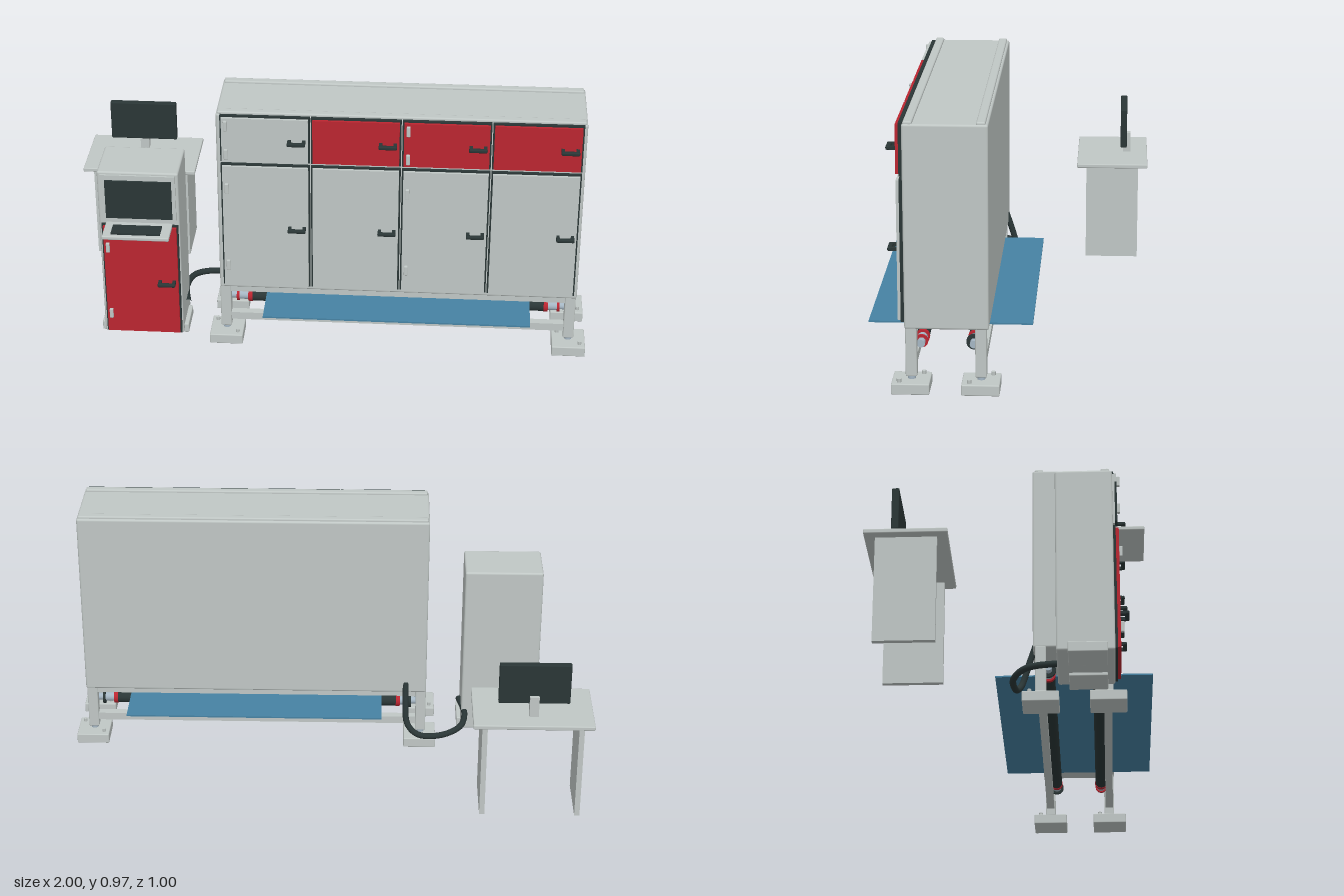
import * as THREE from 'three';
import { RoundedBoxGeometry } from 'three/addons/geometries/RoundedBoxGeometry.js';

const mat = (name, color) => {
  const m = new THREE.MeshStandardMaterial({ color });
  m.name = name;
  return m;
};

export function createModel() {
  const grey = mat('light grey', 0xc0c7c5);
  const red = mat('red', 0xbb2530);
  const dark = mat('dark slate', 0x2a3636);
  const blue = mat('blue sheet', 0x4682a3);
  const silver = mat('blue silver', 0xa5b6c3);
  const root = new THREE.Group();

  const group = (name, parent = root) => {
    const g = new THREE.Group();
    g.name = name;
    parent.add(g);
    return g;
  };
  const add = (name, parent, geo, m, x = 0, y = 0, z = 0) => {
    const mesh = new THREE.Mesh(geo, m);
    mesh.name = name;
    mesh.position.set(x, y, z);
    parent.add(mesh);
    return mesh;
  };
  // box given by its limits, optionally with rounded edges
  const box = (name, parent, m, [x0, x1], [y0, y1], [z0, z1], r = 0) => {
    const s = [x1 - x0, y1 - y0, z1 - z0];
    const geo = r ? new RoundedBoxGeometry(...s, 2, r) : new THREE.BoxGeometry(...s);
    return add(name, parent, geo, m, (x0 + x1) / 2, (y0 + y1) / 2, (z0 + z1) / 2);
  };
  // cylinder along x between two ends
  const rod = (name, parent, m, x0, x1, y, z, r) => {
    const geo = new THREE.CylinderGeometry(r, r, x1 - x0, 28).rotateZ(Math.PI / 2);
    return add(name, parent, geo, m, (x0 + x1) / 2, y, z);
  };
  // U-shaped pull handle ending at x1
  const handle = (parent, x1, y, z) => {
    const g = group('handle', parent);
    box('grip', g, dark, [x1 - 0.067, x1], [y - 0.007, y + 0.007], [z + 0.018, z + 0.034], 0.005);
    for (const x of [x1 - 0.06, x1 - 0.007])
      box('handlePost', g, dark, [x - 0.006, x + 0.006], [y - 0.006, y + 0.006], [z, z + 0.022]);
  };
  const hinge = (parent, x, y, z) =>
    box('hinge', parent, grey, [x - 0.007, x + 0.007], [y - 0.02, y + 0.02], [z, z + 0.012], 0.003);
  // door panel on a dark gasket
  const door = (parent, m, [x0, x1], [y0, y1], hinges, handleY) => {
    const g = group('door', parent);
    box('gasket', g, dark, [x0, x1], [y0, y1], [0.354, 0.367]);
    box('doorPanel', g, m, [x0 + 0.006, x1 - 0.006], [y0 + 0.006, y1 - 0.006], [0.36, 0.378]);
    handle(g, x1 - 0.014, handleY, 0.378);
    hinges.forEach((y) => hinge(g, x0 + 0.022, y, 0.378));
  };

  // main cabinet
  const cabinet = group('cabinet');
  box('cabinetBody', cabinet, grey, [-0.39, 0.955], [0.228, 0.963], [0.06, 0.355], 0.008);
  for (const z of [0.085, 0.335])
    box('roofRail', cabinet, grey, [-0.385, 0.95], [0.95, 0.972], [z - 0.016, z + 0.016], 0.006);
  const edges = [-0.376, -0.044, 0.288, 0.614, 0.945];
  for (let i = 0; i < 4; i++) {
    const span = [edges[i] + 0.002, edges[i + 1] - 0.002];
    const hinged = i % 2 === 0;
    door(cabinet, i ? red : grey, span, [0.777, 0.964], hinged ? [0.815, 0.93] : [], 0.872);
    door(cabinet, grey, span, [0.25, 0.766], hinged ? [0.345, 0.672] : [], 0.51);
  }

  // legs, feet and lower frame
  const frame = group('frame');
  for (const [x, footX] of [[-0.37, -0.367], [0.932, 0.933]])
    for (const [z, footZ] of [[0.332, 0.333], [0.088, 0.088]]) {
      box('leg', frame, grey, [x - 0.02, x + 0.02], [0.052, 0.235], [z - 0.02, z + 0.02], 0.004);
      add('levelScrew', frame, new THREE.CylinderGeometry(0.014, 0.014, 0.022, 16), silver, x, 0.046, z);
      box('foot', frame, grey, [footX - 0.063, footX + 0.063], [0, 0.04], [footZ - 0.067, footZ + 0.067], 0.004);
      for (const s of [-1, 1])
        add('footBolt', frame, new THREE.CylinderGeometry(0.008, 0.008, 0.014, 6), grey,
          footX + s * 0.042, 0.046, footZ + s * 0.04);
    }
  for (const z of [0.332, 0.088]) {
    box('lowerRail', frame, grey, [-0.355, 0.917], [0.08, 0.11], [z - 0.015, z + 0.015]);
    box('upperRail', frame, grey, [-0.355, 0.917], [0.205, 0.23], [z - 0.015, z + 0.015]);
  }

  // feed rollers and sheet
  const feed = group('feed');
  for (const z of [0.3, 0.115]) {
    rod('roller', feed, dark, -0.272, 0.835, 0.163, z, 0.023);
    rod('rollerShaft', feed, silver, -0.36, 0.922, 0.163, z, 0.014);
    for (const [x, s] of [[-0.272, -1], [0.835, 1]]) {
      const span = (a, b) => [x + s * a, x + s * b].sort((p, q) => p - q);
      rod('collar', feed, red, ...span(0, 0.016), 0.163, z, 0.025);
      rod('bearing', feed, silver, ...span(0.016, 0.05), 0.163, z, 0.018);
      rod('endCollar', feed, z > 0.2 ? red : dark, ...span(0.05, 0.06), 0.163, z, z > 0.2 ? 0.023 : 0.028);
    }
  }
  box('sheet', feed, blue, [-0.215, 0.78], [0.188, 0.194], [-0.086, 0.5]);

  // control console
  const consoleUnit = group('console');
  box('consoleBody', consoleUnit, grey, [-0.838, -0.535], [0.012, 0.71], [0.155, 0.358], 0.008);
  for (const x of [-0.79, -0.582])
    box('consoleFoot', consoleUnit, grey, [x - 0.063, x + 0.063], [0, 0.038], [0.195, 0.332], 0.004);
  door(consoleUnit, red, [-0.828, -0.54], [0.022, 0.494], [0.11, 0.4], 0.255);
  box('screenBezel', consoleUnit, grey, [-0.826, -0.546], [0.503, 0.7], [0.35, 0.366]);
  box('screen', consoleUnit, dark, [-0.808, -0.56], [0.523, 0.68], [0.366, 0.374]);
  box('keyboardTray', consoleUnit, grey, [-0.812, -0.562], [0.483, 0.498], [0.355, 0.468], 0.004);
  box('keyboard', consoleUnit, dark, [-0.78, -0.597], [0.498, 0.505], [0.39, 0.452]);

  // cable from the console to the cabinet
  const path = new THREE.CatmullRomCurve3([
    [-0.528, 0.092, 0.26], [-0.548, 0.09, 0.14], [-0.525, 0.085, 0.04], [-0.45, 0.075, -0.008],
    [-0.36, 0.072, 0.0], [-0.318, 0.11, 0.018], [-0.31, 0.2, 0.045], [-0.31, 0.27, 0.068],
  ].map((p) => new THREE.Vector3(...p)));
  add('cable', root, new THREE.TubeGeometry(path, 60, 0.012, 12), dark);

  // desk with monitor
  const desk = group('desk');
  box('deskTop', desk, grey, [-1, -0.552], [0.391, 0.408], [-0.5, -0.21], 0.004);
  for (const x of [-0.955, -0.597])
    box('deskLeg', desk, grey, [x - 0.01, x + 0.01], [0, 0.392], [-0.462, -0.248]);
  box('monitor', desk, dark, [-0.91, -0.645], [0.455, 0.615], [-0.414, -0.388], 0.004);
  box('monitorStand', desk, grey, [-0.795, -0.76], [0.405, 0.488], [-0.43, -0.398]);

  return root;
}
